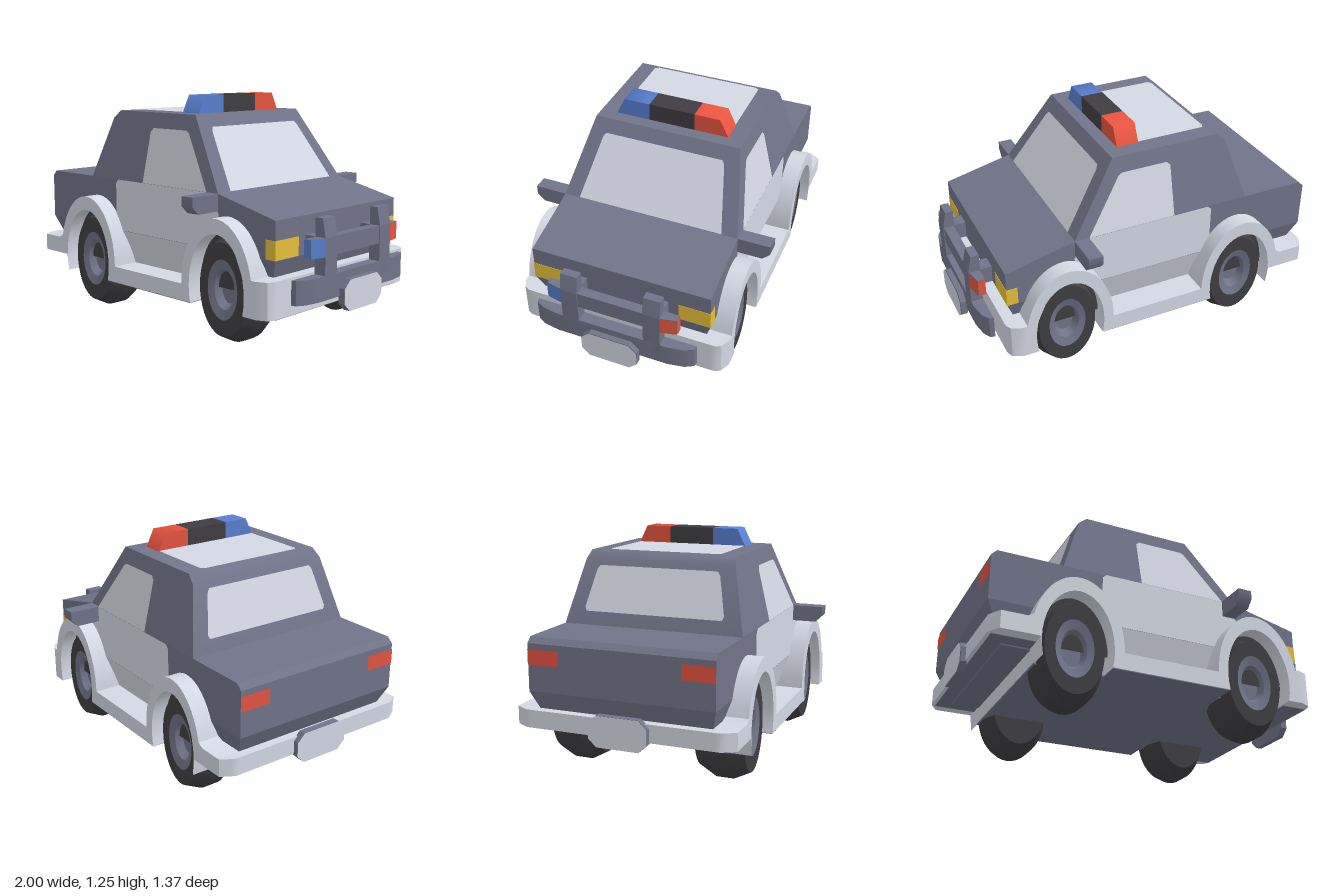
import * as THREE from 'three';
import { toCreasedNormals } from 'three/addons/utils/BufferGeometryUtils.js';
import { ConvexGeometry } from 'three/addons/geometries/ConvexGeometry.js';

const V = (x, y, z) => new THREE.Vector3(x, y, z);
const material = (name, color) => {
  const m = new THREE.MeshStandardMaterial({ color });
  m.name = name;
  return m;
};

export function createModel() {
  const car = new THREE.Group();
  car.name = 'patrolCar';
  const grey = material('bodyGrey', 0x717489);
  const light = material('lightGrey', 0xd4d8e4);
  const black = material('rubberBlack', 0x3f3d42);
  const yellow = material('lampYellow', 0xe8c038);
  const blue = material('lampBlue', 0x587ed0);
  const red = material('lampRed', 0xe6543f);

  const add = (name, geo, mat) => {
    const m = new THREE.Mesh(geo, mat);
    m.name = name;
    car.add(m);
    return m;
  };
  // Axis-aligned box from its limits
  const box = (name, mat, x0, x1, y0, y1, z0, z1) => {
    const m = add(name, new THREE.BoxGeometry(x1 - x0, y1 - y0, z1 - z0), mat);
    m.position.set((x0 + x1) / 2, (y0 + y1) / 2, (z0 + z1) / 2);
  };
  // Convex block; edges flatter than the crease angle are shaded smooth
  const hull = (name, mat, pts, crease = 0.1) =>
    add(name, toCreasedNormals(new ConvexGeometry(pts), crease), mat);
  // Thin painted face: convex polygon lifted a little off the surface
  const panel = (name, mat, pts) => {
    const n = pts[1].clone().sub(pts[0]).cross(pts[2].clone().sub(pts[0])).normalize();
    const c = pts.reduce((s, p) => s.add(p), V(0, 0, 0)).divideScalar(pts.length);
    if (n.dot(c.sub(V(0, 0.7, 0))) < 0) { pts = [...pts].reverse(); n.negate(); }
    const q = pts.map(p => p.clone().addScaledVector(n, 0.004));
    const tris = [];
    for (let i = 1; i < q.length - 1; i++) tris.push(q[0], q[i], q[i + 1]);
    const g = new THREE.BufferGeometry().setFromPoints(tris);
    g.computeVertexNormals();
    add(name, g, mat);
  };

  // Half width of the shell at each height
  const sideZ = y => y > 0.77 ? 0.505 - 0.09 * (y - 0.77) / 0.385
    : y < 0.48 ? 0.505 - (0.48 - y) / 3 : 0.505;
  const both = pts => pts.flatMap(([x, y]) => [V(x, y, sideZ(y)), V(x, y, -sideZ(y))]);

  // Shell and cabin
  hull('lowerBody', grey, both([[-0.97, 0.74], [-0.94, 0.77], [0.45, 0.77], [0.835, 0.68],
    [0.835, 0.48], [0.76, 0.285], [-0.87, 0.285], [-0.97, 0.49]]));
  hull('cabin', grey, both([[-0.58, 0.77], [-0.47, 1.11], [-0.42, 1.155], [0.195, 1.155], [0.45, 0.77]]), 0.85);

  // Doors, side windows, mirrors
  for (const s of [1, -1]) {
    const side = (name, pts) => panel(name, light, pts.map(([x, y]) => V(x, y, s * sideZ(y))));
    side('door', [[-0.36, 0.48], [-0.36, 0.75], [-0.34, 0.77], [0.37, 0.77], [0.455, 0.67], [0.455, 0.48]]);
    side('doorSill', [[-0.36, 0.288], [-0.36, 0.48], [0.455, 0.48], [0.455, 0.288]]);
    side('sideWindow', [[-0.13, 0.77], [-0.13, 1.05], [-0.11, 1.07], [0.15, 1.07], [0.17, 1.06], [0.37, 0.77]]);
    hull('mirror', grey, [0.37, 0.45].flatMap(x =>
      [[0.77, 0.5], [0.77, 0.685], [0.72, 0.685], [0.68, 0.645], [0.68, 0.5]].map(([y, z]) => V(x, y, s * z))), 0.9);
  }

  // Windscreen, rear window and roof panel
  const frontX = y => 0.45 - 0.255 * (y - 0.77) / 0.385;
  const rearX = y => -0.58 + 0.11 * (y - 0.77) / 0.34;
  const screen = (name, fx, pts) => panel(name, light,
    [...pts, ...[...pts].reverse().map(([y, z]) => [y, -z])].map(([y, z]) => V(fx(y), y, z)));
  screen('windscreen', frontX, [[0.772, 0.415], [1.07, 0.35], [1.088, 0.335]]);
  screen('rearWindow', rearX, [[0.84, 0.385], [0.86, 0.395], [1.06, 0.35], [1.08, 0.335]]);
  panel('roofPanel', light, [[-0.4, 0.3], [-0.385, 0.32], [0.02, 0.32], [0.02, -0.32], [-0.385, -0.32], [-0.4, -0.3]]
    .map(([x, z]) => V(x, 1.155, z)));

  // Roof light bar
  const bar = (name, mat, a, b, aTop, bTop) => hull(name, mat, [0, 0.125].flatMap(x =>
    [V(x, 1.15, a), V(x, 1.15, b), V(x, 1.252, aTop), V(x, 1.252, bTop)]), 1.2);
  bar('beaconMiddle', black, -0.13, 0.13, -0.13, 0.13);
  bar('beaconBlue', blue, 0.13, 0.325, 0.13, 0.275);
  bar('beaconRed', red, -0.13, -0.325, -0.13, -0.275);

  // Bumpers, sills and wheel arches: one side profile across the whole width
  const wheelX = 0.523, wheelY = 0.29;
  const profile = new THREE.Shape();
  profile.moveTo(-0.97, 0.295);
  profile.lineTo(-0.97, 0.39);
  profile.lineTo(-0.79, 0.39);
  const arch = (cx, rx, ry, from, to, n = 24) => {
    for (let i = 0; i <= n; i++) {
      const t = from + (to - from) * i / n;
      profile.lineTo(cx + rx * Math.cos(t), wheelY + ry * Math.sin(t));
    }
  };
  const low = Math.asin(0.09 / 0.295);
  arch(-wheelX, 0.25, 0.373, Math.PI - 0.32, 0);
  arch(wheelX, 0.25, 0.373, Math.PI, 0.27);
  profile.lineTo(0.865, 0.39);
  profile.lineTo(0.865, 0.2);
  arch(wheelX, 0.194, 0.295, -low, Math.PI + low);
  arch(-wheelX, 0.194, 0.295, -low, Math.PI + low);
  profile.lineTo(-0.72, 0.295);
  const skirt = new THREE.ExtrudeGeometry(profile, { depth: 1.2, steps: 48, bevelEnabled: false });
  skirt.translate(0, 0, -0.6);
  // Round the plan corners
  const p = skirt.attributes.position;
  for (let i = 0; i < p.count; i++) {
    const d = Math.max(0, Math.abs(p.getZ(i)) - 0.53);
    const frontLimit = 0.795 + Math.sqrt(Math.max(0, 0.0049 - d * d));
    p.setX(i, Math.min(frontLimit, Math.max(-0.97 + d * 0.6, p.getX(i))));
  }
  skirt.computeVertexNormals();
  add('bumpersAndArches', toCreasedNormals(skirt, 0.6), light);

  // Underside
  box('floor', grey, -0.71, 0.8, 0.196, 0.206, -0.48, 0.48);
  box('floorMiddle', grey, -0.335, 0.335, 0.196, 0.202, -0.597, 0.597);
  box('floorFront', grey, 0.72, 0.86, 0.196, 0.202, -0.53, 0.53);
  box('floorRear', grey, -0.95, -0.72, 0.292, 0.298, -0.53, 0.53);

  // Wheels, each with a dark lining behind its upper half
  const lathe = pts => toCreasedNormals(
    new THREE.LatheGeometry(pts.map(([r, y]) => new THREE.Vector2(r, y)), 40), 0.4);
  const tyre = lathe([[0, -0.135], [0.24, -0.135], [0.29, -0.045], [0.29, 0.045], [0.245, 0.135], [0.158, 0.135]]);
  const rim = lathe([[0.158, 0.135], [0.107, 0.12], [0.08, 0.08], [0, 0.08]]);
  const lining = new THREE.CircleGeometry(0.294, 24, 0, Math.PI);
  for (const x of [-wheelX, wheelX]) for (const s of [1, -1]) {
    const wheel = new THREE.Group();
    wheel.name = 'wheel';
    const t = new THREE.Mesh(tyre, black), r = new THREE.Mesh(rim, grey);
    t.name = 'tyre';
    r.name = 'rim';
    wheel.add(t, r);
    wheel.position.set(x, wheelY, s * 0.415);
    wheel.rotation.x = s * Math.PI / 2;
    wheel.scale.x = 0.66;
    car.add(wheel);
    const well = add('wheelArchLining', lining, black);
    well.position.set(x, wheelY, s * 0.512);
    well.rotation.y = s > 0 ? 0 : Math.PI;
    well.scale.x = 0.66;
  }

  // Bull bar
  hull('lowerRail', grey, [0.265, 0.39].flatMap(y => [1, -1].flatMap(s =>
    [[0.9, 0.46], [0.925, 0.455], [0.95, 0.41], [0.965, 0.32]].map(([x, z]) => V(x, y, s * z)))), 0.6);
  box('middleRail', grey, 0.905, 0.96, 0.485, 0.58, -0.19, 0.19);
  for (const s of [1, -1]) {
    hull('bullBarPost', grey, [0.185, 0.28].flatMap(z =>
      [[0.9, 0.265], [0.965, 0.265], [0.965, 0.58], [0.945, 0.677], [0.9, 0.677]].map(([x, y]) => V(x, y, s * z))));
    box('bullBarMount', grey, 0.82, 0.91, 0.485, 0.58, s > 0 ? 0.19 : -0.275, s > 0 ? 0.275 : -0.19);
    // Grey lamp housing with coloured front and end faces
    const plan = [[0.903, 0.366], [0.943, 0.366], [0.961, 0.28], [0.903, 0.28]];
    hull('lampHousing', grey, [0.485, 0.58].flatMap(y => plan.map(([x, z]) => V(x, y, s * z))));
    for (const i of [0, 1]) {
      const [a, b] = [plan[i], plan[i + 1]];
      panel('bullBarLamp', s > 0 ? blue : red, [[a, 0.485], [b, 0.485], [b, 0.58], [a, 0.58]]
        .map(([[x, z], y]) => V(x, y, s * z)));
    }
    // Headlamps wrap the front corners, tail lamps sit on the rear face
    box('headlamp', yellow, 0.775, 0.837, 0.482, 0.58, s > 0 ? 0.33 : -0.507, s > 0 ? 0.507 : -0.33);
    panel('tailLamp', red, [[0.63, 0.33], [0.63, 0.505], [0.71, 0.505], [0.71, 0.33]]
      .map(([y, z]) => V(-0.97, y, s * z)));
  }

  // Blank number plates
  const octagon = (x, cy) => [[0.04, 0.16], [0.082, 0.115], [0.082, -0.115], [0.04, -0.16],
    [-0.04, -0.16], [-0.082, -0.115], [-0.082, 0.115], [-0.04, 0.16]].map(([y, z]) => V(x, cy + y, z));
  for (const [name, x0, x1, cy] of [['frontPlate', 0.96, 0.996, 0.268], ['rearPlate', -0.96, -0.996, 0.33]]) {
    hull(name + 'Back', grey, [...octagon(x0, cy), ...octagon(x1, cy)]);
    panel(name, light, octagon(x1, cy));
  }
  return car;
}
